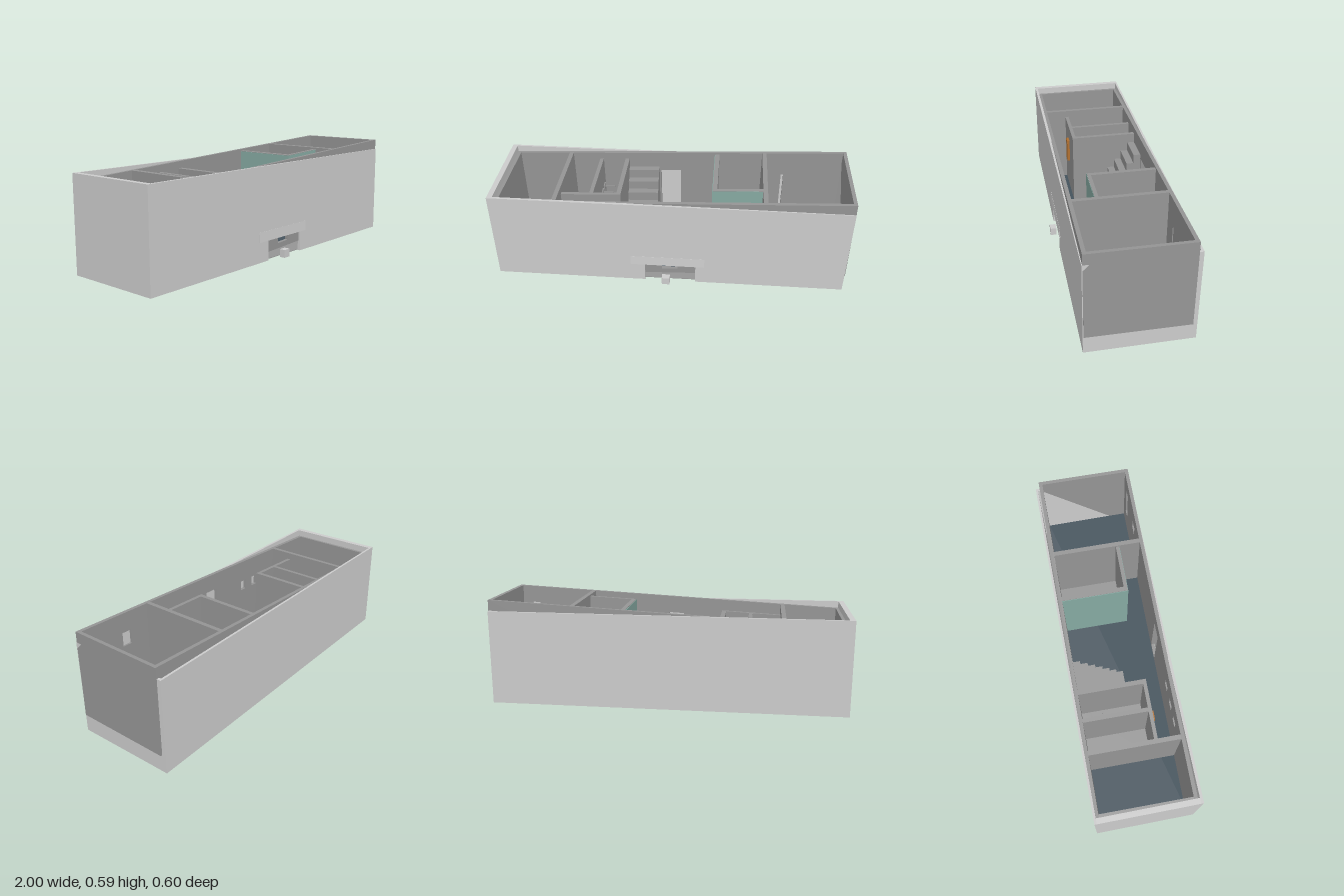
import * as THREE from 'three';

const mat = (color) => new THREE.MeshStandardMaterial({ color, flatShading: true });
const GREY = mat(0xcccccc), INNER = mat(0x959595), FLOOR = mat(0x45535d);
const TEAL = mat(0x86aaa2), RED = mat(0xa01818), ORANGE = mat(0xb07030);

// The inner storey slopes up towards +x and is turned slightly.
const SLOPE = new THREE.Matrix4().set(
  1, -0.01, -0.01, 0,
  0.05, 1, 0, 0.05,
  0.008, 0, 1, 0,
  0, 0, 0, 1);

// Box given by its min and max corners
function boxGeo(x0, x1, y0, y1, z0, z1) {
  return new THREE.BoxGeometry(x1 - x0, y1 - y0, z1 - z0)
    .translate((x0 + x1) / 2, (y0 + y1) / 2, (z0 + z1) / 2);
}

// Wall along x with rectangular openings [x0, x1, y0, y1]
function wallGeo(x0, x1, y0, y1, z0, z1, openings) {
  const rect = (T, a, b, c, d) => new T([[a, c], [b, c], [b, d], [a, d]].map((p) => new THREE.Vector2(...p)));
  const shape = rect(THREE.Shape, x0, x1, y0, y1);
  openings.forEach((o) => shape.holes.push(rect(THREE.Path, ...o)));
  return new THREE.ExtrudeGeometry(shape, { depth: z1 - z0, bevelEnabled: false }).translate(0, 0, z0);
}

function add(group, name, geo, material) {
  const mesh = new THREE.Mesh(geo, material);
  mesh.name = name;
  group.add(mesh);
}

function createShell() {
  const g = new THREE.Group();
  g.name = 'outerShell';
  // Front wall with a doorway notch at ground level
  const front = new THREE.Shape([[-1, 0], [-0.14, 0], [-0.14, 0.115], [0.15, 0.115], [0.15, 0],
    [0.99, 0], [0.99, 0.53], [-1, 0.53]].map((p) => new THREE.Vector2(...p)));
  add(g, 'outerFrontWall',
    new THREE.ExtrudeGeometry(front, { depth: 0.015, bevelEnabled: false }).translate(0, 0, 0.25), GREY);
  add(g, 'outerBackWall', boxGeo(-1, 0.99, 0, 0.53, -0.3, -0.288), GREY);
  add(g, 'outerLeftEnd', boxGeo(0.975, 0.99, 0, 0.53, -0.288, 0.25), GREY);
  add(g, 'outerRightEnd', boxGeo(-1, -0.97, 0, 0.53, -0.288, 0.25), GREY);
  add(g, 'base', boxGeo(-0.97, 0.975, 0.003, 0.006, -0.288, 0.25), INNER);
  // Entrance step and the shallow lintel panel over the doorway
  add(g, 'entranceStep', boxGeo(-0.04, 0.005, 0, 0.045, 0.265, 0.3), GREY);
  const lintel = new THREE.Shape([[0.262, 0.115], [0.27, 0.115], [0.266, 0.17], [0.262, 0.17]]
    .map(([z, y]) => new THREE.Vector2(-z, y)));
  add(g, 'lintelPanel', new THREE.ExtrudeGeometry(lintel, { depth: 0.42, bevelEnabled: false })
    .rotateY(Math.PI / 2).translate(-0.22, 0, 0), GREY);
  return g;
}

function createStorey() {
  const g = new THREE.Group();
  g.name = 'innerStorey';
  const H = 0.49, L = -0.967, R = 0.9965, B = -0.284, F = 0.253, T = 0.02;
  const put = (name, geo, material = INNER) => add(g, name, geo.applyMatrix4(SLOPE), material);
  const box = (name, dims, material) => put(name, boxGeo(...dims), material);

  // Floor slab, dark covering and grey room floors
  box('floorSlab', [L, R, 0, 0.012, B, F]);
  box('floorCovering', [L + T, R - T, 0.012, 0.016, B + T, F - T], FLOOR);
  box('smallRoomsFloor', [-0.62, -0.29, 0.016, 0.02, B + T, 0.1]);
  box('sideRoomFloor', [0.25, 0.52, 0.016, 0.02, B + T, 0.1]);

  // Perimeter walls with doors and windows
  put('innerFrontWall', wallGeo(L, R, 0.012, H, F - T, F, [
    [-0.04, 0.05, 0.03, 0.39], [0.87, 0.92, 0.15, 0.39], [0.66, 0.72, 0.3, 0.38],
    [-0.33, -0.28, 0.3, 0.36], [-0.44, -0.39, 0.3, 0.36], [-0.54, -0.49, 0.3, 0.36]]));
  put('innerBackWall', wallGeo(L, R, 0.012, H, B, B + T, [
    [-0.09, 0.03, 0.03, 0.37], [0.63, 0.645, 0.1, 0.34]]));
  box('innerRightEnd', [L, L + T, 0.012, H, B + T, F - T]);
  box('innerLeftEnd', [R - T, R, 0.012, H, B + T, F - T]);

  // Partitions: [name, x0, x1, z0, z1, height]
  [
    ['rightCrossWall', -0.645, -0.62, B + T, F - T, H],
    ['leftCrossWall', 0.51, 0.535, B + T, F - T, H],
    ['smallRoomsFront', -0.62, -0.28, 0.095, 0.115, 0.45],
    ['smallRoomsDivider', -0.46, -0.438, B + T, 0.095, 0.45],
    ['smallRoomsSide', -0.305, -0.28, B + T, 0.095, 0.45],
    ['sideRoomFront', 0.235, 0.51, 0.092, 0.112, H - 0.01],
    ['sideRoomSide', 0.235, 0.26, B + T, 0.092, H - 0.01],
  ].forEach(([name, x0, x1, z0, z1, h]) => box(name, [x0, x1, 0.012, h, z0, z1]));

  // Coloured facing on the side room
  box('sideRoomFrontFacing', [0.233, 0.51, 0.016, H - 0.013, 0.112, 0.114], TEAL);
  box('sideRoomSideFacing', [0.232, 0.235, 0.016, H - 0.013, B + T, 0.114], TEAL);

  // Stairs climbing to the back wall
  const steps = 7, zStart = 0.025, run = (zStart - B - T) / steps;
  for (let i = 0; i < steps; i++) {
    const z = zStart - i * run;
    box('stairStep', [-0.28, -0.1, 0.016, 0.016 + 0.054 * (i + 1), z - run, z]);
  }

  // Fittings in the small rooms
  box('redCabinet', [-0.438, -0.403, 0.02, 0.24, -0.065, 0.02], RED);
  [-0.21, -0.145].forEach((z) => {
    box('shelf', [-0.438, -0.37, 0.28, 0.29, z - 0.004, z + 0.004]);
    box('shelfBracket', [-0.438, -0.43, 0.22, 0.3, z - 0.018, z + 0.018]);
  });
  box('wallPanel', [-0.49, -0.44, 0.22, 0.36, 0.115, 0.13], ORANGE);
  return g;
}

export function createModel() {
  const model = new THREE.Group();
  model.name = 'openHouse';
  model.add(createShell(), createStorey());
  return model;
}
